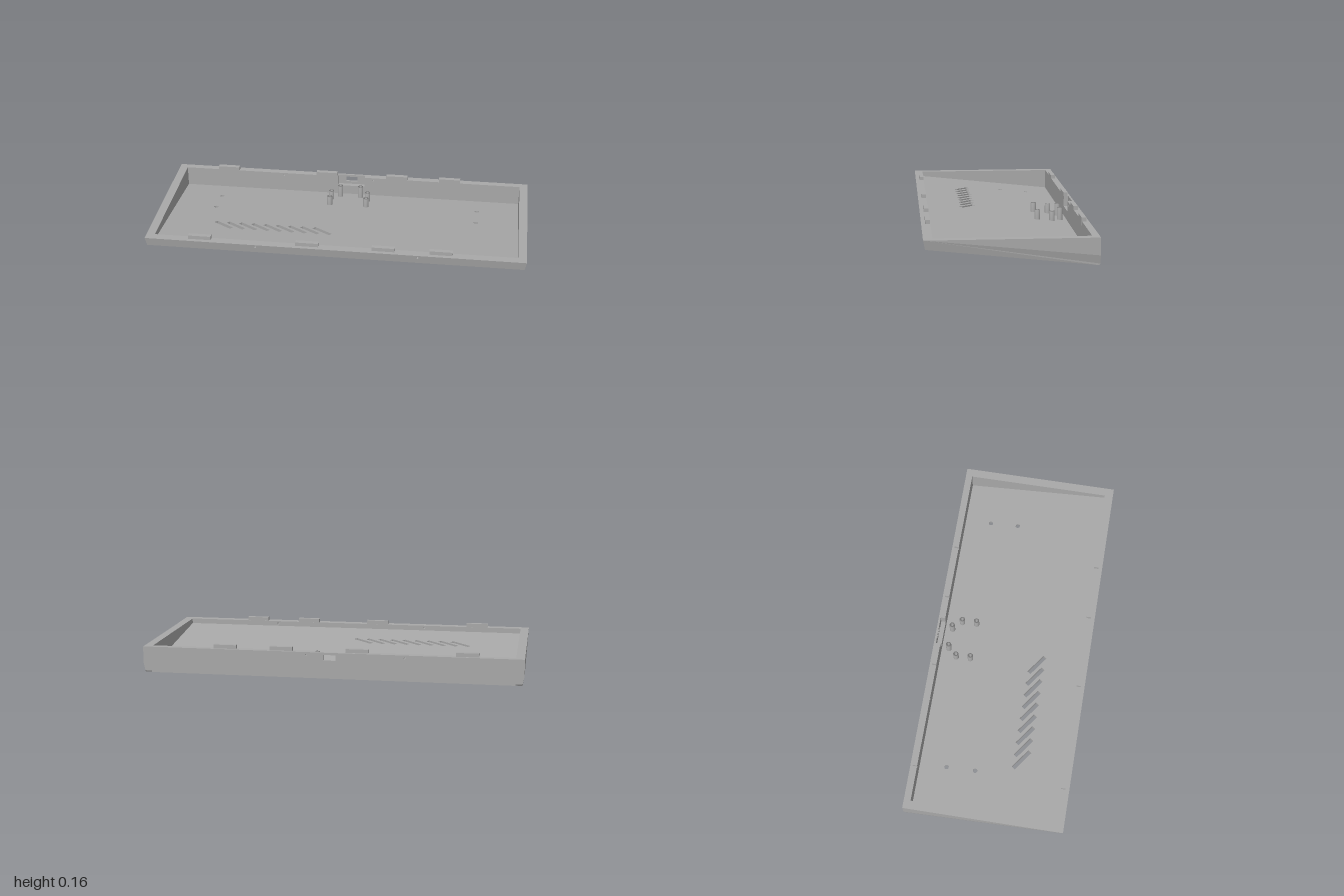
import * as THREE from 'three';

const TOP = 0.137, FRONT = 0.424, BACK = -0.421;
const IN_X = 0.955, IN_FRONT = 0.378, IN_BACK = -0.385;
const FLOOR = 0.024;
// Height of the sloping underside at depth z
const under = z => Math.max(0, (z - BACK) * 0.1075);

const rectPoints = (x0, x1, y0, y1) => [[x0, y0], [x1, y0], [x1, y1], [x0, y1]].map(p => new THREE.Vector2(...p));
const rectPath = (...r) => new THREE.Path(rectPoints(...r));
const rectShape = (...r) => new THREE.Shape(rectPoints(...r));
const circlePath = (x, y, r) => new THREE.Path().absarc(x, y, r, 0, Math.PI * 2, true);

// Extrude a shape, then move every corner by a rule
function extrude(shape, depth, rule) {
  const g = new THREE.ExtrudeGeometry(shape, { depth, bevelEnabled: false, curveSegments: 10 });
  const p = g.attributes.position, v = new THREE.Vector3();
  for (let i = 0; i < p.count; i++) {
    v.fromBufferAttribute(p, i);
    rule(v);
    p.setXYZ(i, v.x, v.y, v.z);
  }
  g.computeVertexNormals();
  return g;
}

export function createModel() {
  const root = new THREE.Group();
  root.name = 'slopedCase';
  const grey = new THREE.MeshStandardMaterial({ color: 0xa8a8a8 });
  grey.name = 'grey plastic';
  const add = (name, geometry, x = 0, y = 0, z = 0) => {
    const m = new THREE.Mesh(geometry, grey);
    m.name = name;
    m.position.set(x, y, z);
    root.add(m);
    return m;
  };

  // Sloping floor in two layers; the lower one carries the pocket and foot recesses
  const floorLayer = (name, from, to, extraHoles) => {
    const s = rectShape(-IN_X, IN_X, -IN_FRONT, -IN_BACK);
    for (let i = 0; i < 9; i++) {
      const cx = -0.634 + i * 0.0675, cy = -0.15;
      const corner = (a, b) => new THREE.Vector2(cx + a * 0.05 + b * 0.007, cy - a * 0.037 + b * 0.009);
      s.holes.push(new THREE.Path([corner(-1, -1), corner(1, -1), corner(1, 1), corner(-1, 1)]));
    }
    s.holes.push(...extraHoles);
    add(name, extrude(s, to - from, v => {
      const z = -v.y;
      v.set(v.x, under(z) + from + v.z, z);
    }));
  };
  const screwHoles = [], feet = [];
  for (const x of [-1, 1]) {
    for (const z of [-0.24, -0.085]) screwHoles.push(circlePath(x * 0.725, -z, 0.012));
    for (const z of [-0.32, 0.32]) feet.push(circlePath(x * 0.88, -z, 0.03));
  }
  floorLayer('floorUpper', 0.012, FLOOR, screwHoles);
  floorLayer('floorLower', 0, 0.012, [...feet, rectPath(-0.91, 0.91, 0.04, 0.275)]);

  // Side walls: upright upper part, lower part leaning inward under a diagonal crease
  const upper = [[FRONT, TOP], [BACK, 0.05], [BACK, TOP]];
  const lower = [[FRONT, TOP], [0.415, under(0.415)], [BACK + 0.005, 0], [BACK, 0.008], [BACK, 0.05]];
  for (const side of [-1, 1]) {
    for (const [part, pts] of [['Upper', upper], ['Lower', lower]]) {
      const shape = new THREE.Shape(pts.map(p => new THREE.Vector2(side * -p[0], p[1])));
      const g = extrude(shape, 1 - IN_X, v => {
        const z = -side * v.x, outer = v.z > 0.01;
        const atBottom = v.y < under(z) + 0.01;
        v.set(side * (outer ? (atBottom ? 0.991 : 1) : IN_X), v.y, z);
      });
      add((side > 0 ? 'left' : 'right') + 'Wall' + part, g);
    }
  }

  // Front wall, leaning outward, with two screw holes
  const front = rectShape(-IN_X, IN_X, 0.08, TOP);
  for (const x of [-0.41, 0.44]) front.holes.push(circlePath(x, 0.124, 0.006));
  add('frontWall', extrude(front, 1, v => {
    const t = THREE.MathUtils.clamp((v.y - 0.09) / (TOP - 0.09), 0, 1);
    v.z = v.z > 0.5 ? 0.415 + t * (FRONT - 0.415) : IN_FRONT;
    if (v.y < 0.081) v.y = under(v.z);
  }));

  // Back wall with a connector notch
  const back = new THREE.Shape([
    [-IN_X, 0], [IN_X, 0], [IN_X, TOP], [0.077, TOP], [0.077, 0.08],
    [-0.077, 0.08], [-0.077, TOP], [-IN_X, TOP],
  ].map(p => new THREE.Vector2(...p)));
  for (const x of [-0.39, 0.125]) back.holes.push(circlePath(x, 0.122, 0.005));
  add('backWall', extrude(back, IN_BACK - BACK, v => {
    v.z += BACK;
    if (v.y < 0.001) v.y = under(v.z);
  }));

  // Thin plate closing the notch, with the connector opening
  const plate = rectShape(-0.077, 0.077, 0.08, TOP);
  plate.holes.push(rectPath(-0.032, 0.032, 0.096, 0.125));
  add('connectorPlate', extrude(plate, 0.011, v => { v.z += BACK; }));

  // Locating tabs on the front and back rims
  for (const x of [-0.71, -0.14, 0.26, 0.56]) {
    for (const z of [-0.395, 0.391]) {
      add('rimTab', new THREE.BoxGeometry(0.12, 0.04, 0.024), x, 0.137, z);
    }
  }

  // Hollow mounting posts
  const posts = [[0.0575, -0.345, 0.07], [0.1025, -0.297, 0.055], [0.1025, -0.217, 0.055]];
  for (const [px, z, h] of posts) {
    const profile = [[0.015, 0], [0.015, h], [0.007, h], [0.007, 0.005], [0, 0.005]];
    for (const side of [-1, 1]) {
      const g = new THREE.LatheGeometry(profile.map(p => new THREE.Vector2(...p)), 16);
      add('mountingPost', g, side * px, under(z) + FLOOR - 0.003, z);
    }
  }
  return root;
}
